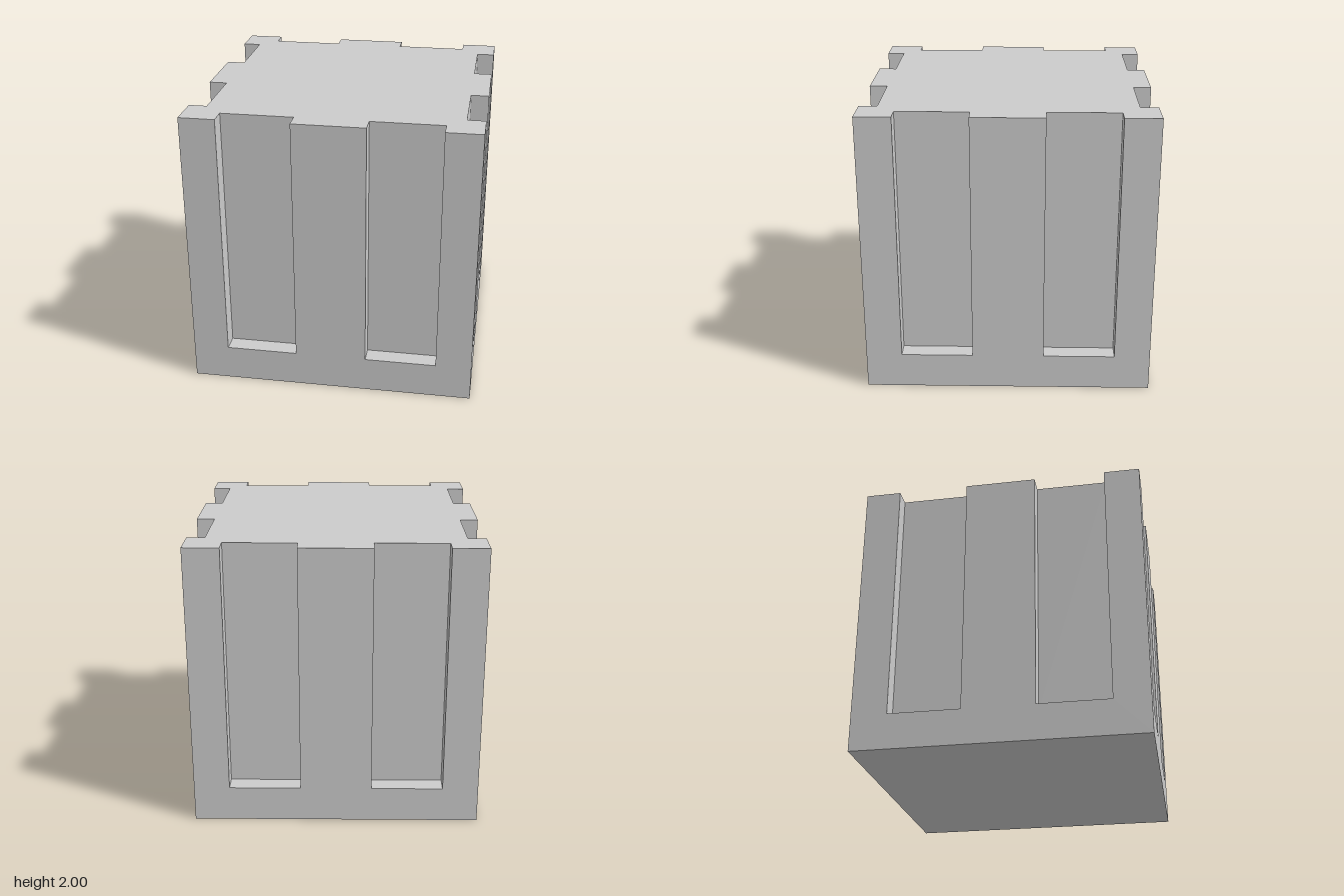
import * as THREE from 'three';
import { mergeGeometries } from 'three/addons/utils/BufferGeometryUtils.js';

const HALF = 1, HEIGHT = 2;
const DEPTH = 0.125, SILL = 0.25;        // recess depth and height of its floor
const WIDTH = 0.5, CENTRES = [-0.5, 0.5]; // recess width and positions on each side

const plane = (w, h, rx, ry, x, y, z) =>
  new THREE.PlaneGeometry(w, h).rotateX(rx).rotateY(ry).translate(x, y, z);

// One side facing +z: outer wall with two slots open at the top, plus the slot linings
function sideGeometry() {
  const wall = new THREE.Shape();
  wall.moveTo(HALF, 0).lineTo(HALF, HEIGHT);
  for (const c of [...CENTRES].reverse()) {
    const l = c - WIDTH / 2, r = c + WIDTH / 2;
    wall.lineTo(r, HEIGHT).lineTo(r, SILL).lineTo(l, SILL).lineTo(l, HEIGHT);
  }
  wall.lineTo(-HALF, HEIGHT).lineTo(-HALF, 0);

  const parts = [new THREE.ShapeGeometry(wall).translate(0, 0, HALF)];
  const h = HEIGHT - SILL, midY = SILL + h / 2, midZ = HALF - DEPTH / 2;
  for (const c of CENTRES) {
    parts.push(
      plane(WIDTH, h, 0, 0, c, midY, HALF - DEPTH),                     // back
      plane(DEPTH, h, 0, Math.PI / 2, c - WIDTH / 2, midY, midZ),       // left cheek
      plane(DEPTH, h, 0, -Math.PI / 2, c + WIDTH / 2, midY, midZ),      // right cheek
      plane(WIDTH, DEPTH, -Math.PI / 2, 0, c, SILL, midZ)               // sill
    );
  }
  return mergeGeometries(parts);
}

// Notched square outline of the top, one quarter turned four times
function topGeometry() {
  let run = [[-HALF, -HALF]];
  for (const c of CENTRES) {
    const l = c - WIDTH / 2, r = c + WIDTH / 2, inner = DEPTH - HALF;
    run.push([l, -HALF], [l, inner], [r, inner], [r, -HALF]);
  }
  const points = [];
  for (let i = 0; i < 4; i++) {
    points.push(...run.map(([x, y]) => new THREE.Vector2(x, y)));
    run = run.map(([x, y]) => [-y, x]);
  }
  return new THREE.ShapeGeometry(new THREE.Shape(points))
    .rotateX(-Math.PI / 2).translate(0, HEIGHT, 0);
}

export function createModel() {
  const group = new THREE.Group();
  group.name = 'groovedBlock';

  const parts = [topGeometry(), plane(2 * HALF, 2 * HALF, Math.PI / 2, 0, 0, 0, 0)];
  for (let i = 0; i < 4; i++) parts.push(sideGeometry().rotateY(i * Math.PI / 2));

  const block = new THREE.Mesh(
    mergeGeometries(parts),
    new THREE.MeshStandardMaterial({ color: 0xcccccc, flatShading: true })
  );
  block.name = 'block';
  group.add(block);
  return group;
}
